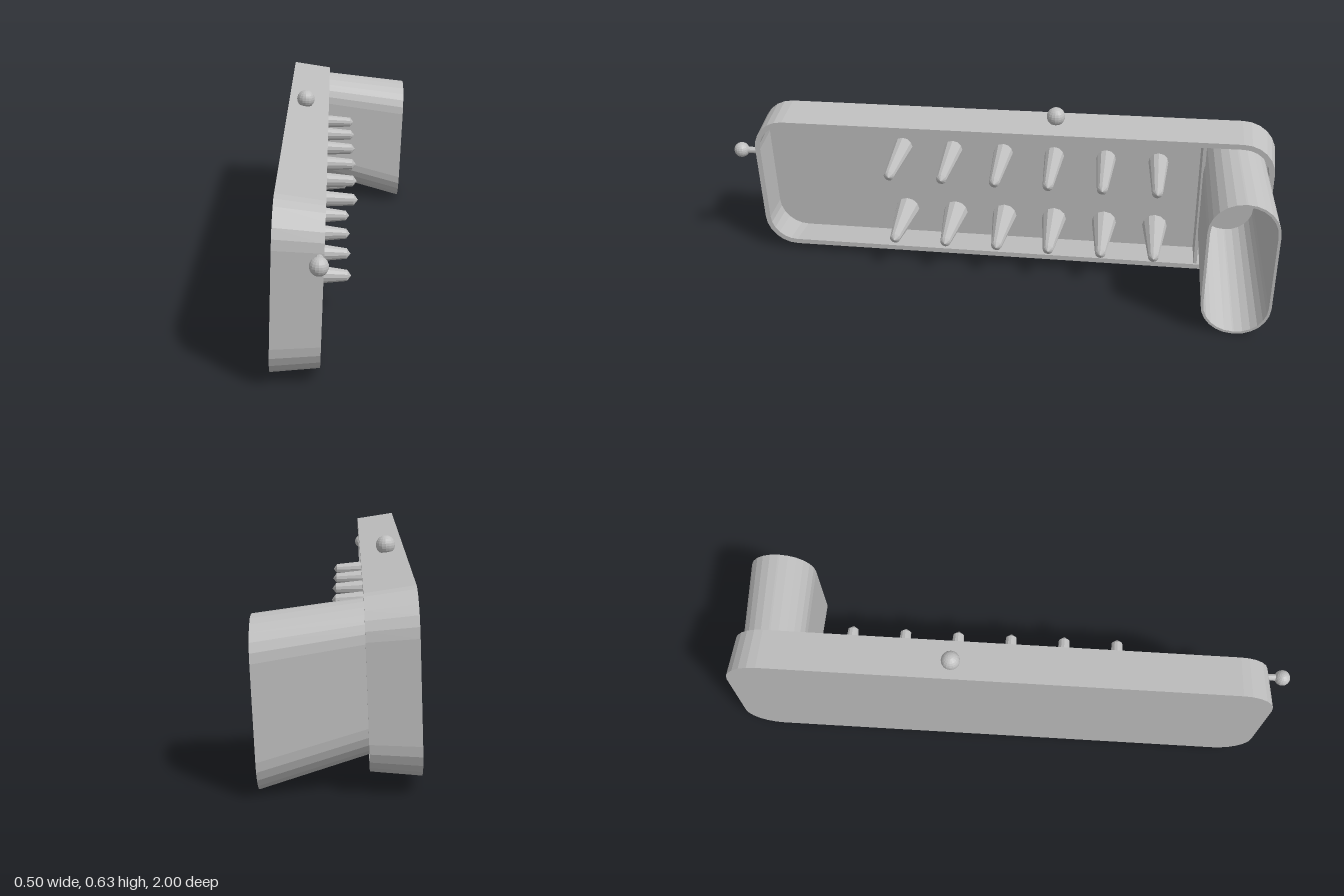
import * as THREE from 'three';

// Local frame: x along the tray, y across it, z out of its open side.
const gray = new THREE.MeshStandardMaterial({ color: 0xbfbfbf });
gray.name = 'plain gray';

function part(name, geometry, parent) {
  const geo = geometry.index ? geometry.toNonIndexed() : geometry;
  geo.computeVertexNormals(); // faceted look
  const mesh = new THREE.Mesh(geo, gray);
  mesh.name = name;
  parent.add(mesh);
  return mesh;
}

// Rounded rectangle of half sizes hx, hy and corner radius r, counter-clockwise.
function ring(cx, cy, z, hx, hy, r, n = 6) {
  const pts = [];
  [[1, 1], [-1, 1], [-1, -1], [1, -1]].forEach(([sx, sy], q) => {
    for (let i = 0; i <= n; i++) {
      const a = (q + i / n) * Math.PI / 2;
      pts.push([cx + sx * (hx - r) + r * Math.cos(a), cy + sy * (hy - r) + r * Math.sin(a), z]);
    }
  });
  return pts;
}

// Skin successive rings; optionally close the first and last ring with fans.
function loft(rings, capped) {
  const pos = [];
  const tri = (a, b, c) => pos.push(...a, ...b, ...c);
  const n = rings[0].length;
  for (let k = 0; k < rings.length - 1; k++) {
    const a = rings[k], b = rings[k + 1];
    for (let i = 0; i < n; i++) {
      const j = (i + 1) % n;
      tri(a[i], a[j], b[j]);
      tri(a[i], b[j], b[i]);
    }
  }
  if (capped) {
    const first = rings[0], last = rings[rings.length - 1];
    for (let i = 1; i < n - 1; i++) {
      tri(first[0], first[i + 1], first[i]);
      tri(last[0], last[i], last[i + 1]);
    }
  }
  const geo = new THREE.BufferGeometry();
  geo.setAttribute('position', new THREE.Float32BufferAttribute(pos, 3));
  return geo;
}

export function createModel() {
  const model = new THREE.Group();
  model.name = 'pinTray';
  const body = new THREE.Group();
  body.name = 'tiltedBody';
  model.add(body);

  // Tray with drafted walls and a closed back
  part('tray', loft([
    ring(0, 0, 0, 0.953, 0.28, 0.125),
    ring(0, 0, 0.15, 0.942, 0.262, 0.115),
    ring(0, 0, 0.15, 0.923, 0.243, 0.096),
    ring(0, 0, 0.012, 0.932, 0.258, 0.105),
  ], true), body);

  // Partition, narrowing with the walls
  const wall = new THREE.BoxGeometry(0.012, 0.51, 0.13);
  const p = wall.attributes.position;
  for (let i = 0; i < p.count; i++) if (p.getZ(i) > 0) p.setY(i, p.getY(i) * 0.955);
  part('partition', wall, body).position.set(0.697, 0, 0.077);

  // Open spout, leaning and widening outwards
  const t = 0.009;
  const a = [0.801, 0.04, 0.011], b = [0.825, -0.045, 0.47];
  part('spout', loft([
    ring(...a, 0.107, 0.217, 0.104),
    ring(...b, 0.118, 0.258, 0.115),
    ring(...b, 0.118 - t, 0.258 - t, 0.115 - t),
    ring(...a, 0.107 - t, 0.217 - t, 0.104 - t),
  ], false), body);

  // Two rows of tapered pins
  const rows = [
    { name: 'upperPin', y: 0.115, r: 0.036, h: 0.243 },
    { name: 'lowerPin', y: -0.158, r: 0.046, h: 0.233 },
  ];
  for (const { name, y, r, h } of rows) {
    const profile = [[r, 0], [0.019, h - 0.014], [0, h]].map(([x, z]) => new THREE.Vector2(x, z));
    for (let i = 0; i < 6; i++) {
      const pin = part(name, new THREE.LatheGeometry(profile, 12), body);
      pin.rotation.x = Math.PI / 2;
      pin.position.set(-0.413 + 0.191 * i, y - 0.0024 * i, 0.012);
    }
  }

  // Knobs
  part('topKnob', new THREE.SphereGeometry(0.033, 16, 12), body).position.set(0.17, 0.295, 0.063);
  part('endKnob', new THREE.SphereGeometry(0.028, 16, 12), body).position.set(-1.0, 0.134, 0.136);
  const stem = part('endKnobStem', new THREE.CylinderGeometry(0.012, 0.012, 0.07, 12), body);
  stem.rotation.z = Math.PI / 2;
  stem.position.set(-0.965, 0.134, 0.136);

  // Tilt the whole body
  const along = new THREE.Vector3(-0.105, 0.0158, -0.994).normalize();
  const out = new THREE.Vector3().crossVectors(along, new THREE.Vector3(0.036, 0.999, 0.012)).normalize();
  const up = new THREE.Vector3().crossVectors(out, along);
  body.quaternion.setFromRotationMatrix(new THREE.Matrix4().makeBasis(along, up, out));
  body.position.set(-0.14, 0.305, -0.0125);
  return model;
}
